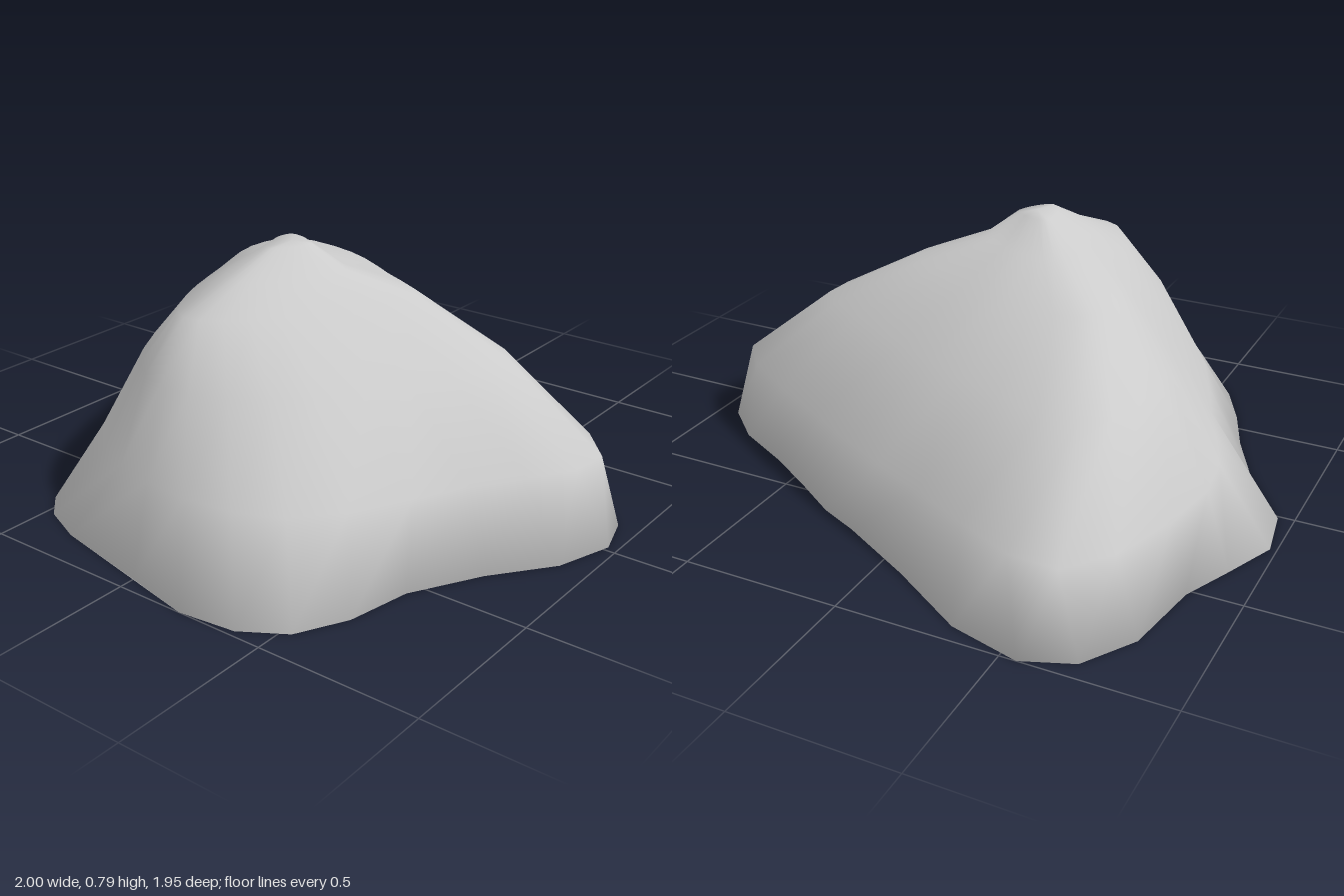
import * as THREE from 'three';

// Ground outline of the boulder as [x, z], running from the front towards +x
const OUTLINE = [
  [0.16, 0.93], [0.28, 0.8], [0.38, 0.61], [0.48, 0.45], [0.58, 0.3], [0.64, 0.17],
  [0.78, -0.08], [0.94, -0.33], [1, -0.55], [0.94, -0.7], [0.78, -0.8], [0.52, -0.84],
  [0.36, -0.91], [0.19, -0.98], [0.01, -0.95], [-0.2, -0.8], [-0.4, -0.7], [-0.58, -0.63],
  [-0.74, -0.55], [-0.82, -0.47], [-0.88, -0.33], [-0.95, 0], [-1, 0.22], [-0.98, 0.4],
  [-0.9, 0.53], [-0.75, 0.61], [-0.55, 0.65], [-0.34, 0.77], [-0.16, 0.91], [0.02, 0.97],
];
const FAN = 20; // outline point from which the whole underside can be fanned

// Contours higher up: height and ten [x, z] points, one for every third outline point
const CONTOURS = [
  [0.24, [[0.1, 0.89], [0.44, 0.42], [0.71, -0.1], [0.9, -0.62], [0.35, -0.83],
    [-0.12, -0.68], [-0.62, -0.44], [-0.83, -0.05], [-0.76, 0.4], [-0.3, 0.69]]],
  [0.48, [[0.06, 0.59], [0.26, 0.28], [0.45, -0.1], [0.56, -0.52], [0.25, -0.64],
    [-0.12, -0.53], [-0.52, -0.35], [-0.71, -0.1], [-0.6, 0.22], [-0.27, 0.46]]],
  [0.64, [[0, 0.29], [0.12, 0.1], [0.23, -0.13], [0.24, -0.37], [0.08, -0.43],
    [-0.15, -0.36], [-0.42, -0.26], [-0.57, -0.13], [-0.47, 0.04], [-0.22, 0.22]]],
  [0.71, [[-0.1, 0.1], [-0.04, 0.02], [0.01, -0.08], [0.02, -0.2], [-0.08, -0.24],
    [-0.2, -0.22], [-0.32, -0.18], [-0.4, -0.1], [-0.34, -0.01], [-0.22, 0.07]]],
];
const SUMMIT = new THREE.Vector3(-0.175, 0.79, -0.05);

function boulderGeometry() {
  const n = OUTLINE.length;
  const rings = [OUTLINE.map(([x, z]) => new THREE.Vector3(x, 0, z))];
  for (const [y, keys] of CONTOURS) {
    const points = keys.map(([x, z]) => new THREE.Vector3(x, y, z));
    const curve = new THREE.CatmullRomCurve3(points, true, 'catmullrom', 0.5);
    rings.push(OUTLINE.map((_, i) => curve.getPoint(i / n)));
  }
  // Small rounded crown around the summit
  rings.push(rings[rings.length - 1].map((p) => p.clone().lerp(SUMMIT, 0.63).setY(0.785)));

  const sides = [];
  const underside = [];
  const last = (rings.length - 1) * n;
  for (let i = 0; i < n; i++) {
    const j = (i + 1) % n;
    for (let k = 0; k < last; k += n) {
      sides.push(k + i, k + j, k + n + j, k + i, k + n + j, k + n + i);
    }
    sides.push(last + n, last + i, last + j);
    if (i !== FAN && j !== FAN) underside.push(FAN, j, i);
  }

  const geometry = new THREE.BufferGeometry();
  geometry.setFromPoints([...rings.flat(), SUMMIT]);
  geometry.setIndex(sides);
  geometry.computeVertexNormals();

  // Soften the ground edge so that the sides roll smoothly into the underside
  const normals = geometry.attributes.normal;
  const normal = new THREE.Vector3();
  for (let i = 0; i < n; i++) {
    normal.fromBufferAttribute(normals, i);
    normal.y -= 0.6;
    normal.normalize();
    normals.setXYZ(i, normal.x, normal.y, normal.z);
  }
  geometry.setIndex([...sides, ...underside]);
  return geometry;
}

export function createModel() {
  const group = new THREE.Group();
  group.name = 'rock';
  const boulder = new THREE.Mesh(
    boulderGeometry(),
    new THREE.MeshStandardMaterial({ color: 0xcccccc })
  );
  boulder.name = 'boulder';
  group.add(boulder);
  return group;
}
